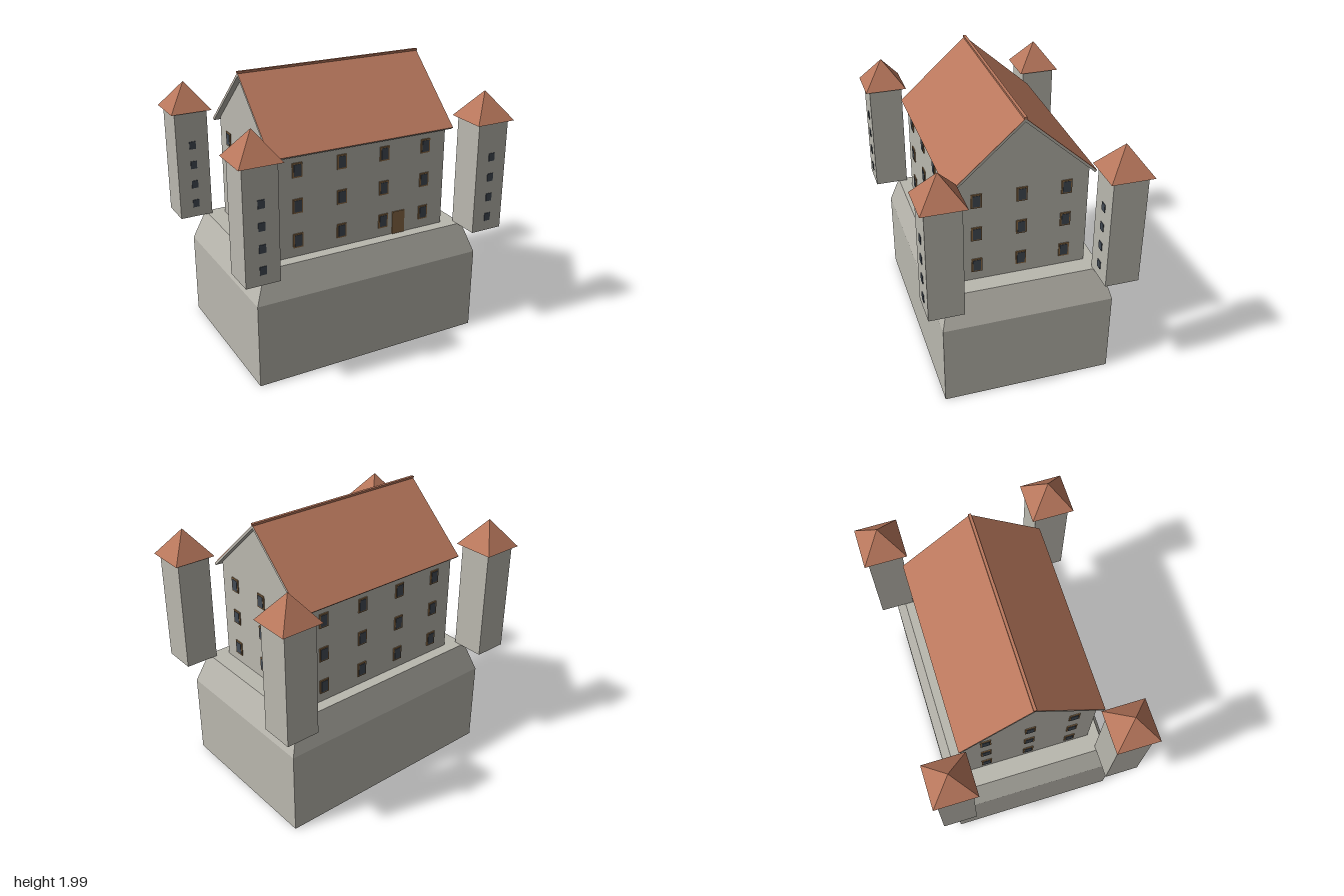
import * as THREE from 'three';

const material = (name, color) => {
  const m = new THREE.MeshStandardMaterial({ color });
  m.name = name;
  return m;
};

export function createModel() {
  const stone = material('grey stone', 0xbab8af);
  const tile = material('clay tile', 0xb8775c);
  const wood = material('brown wood', 0x8b6b47);
  const glass = material('dark glass', 0x434b55);

  const castle = new THREE.Group();
  castle.name = 'castle';

  const add = (parent, name, geometry, mat, x = 0, y = 0, z = 0) => {
    const mesh = new THREE.Mesh(geometry, mat);
    mesh.name = name;
    mesh.position.set(x, y, z);
    parent.add(mesh);
    return mesh;
  };
  const box = (w, h, d) => new THREE.BoxGeometry(w, h, d);

  // Extrudes a [z, y] outline along x, centred on x = 0
  const extrudeAlongX = (points, length) => {
    const shape = new THREE.Shape(points.map(([z, y]) => new THREE.Vector2(z, y)));
    const g = new THREE.ExtrudeGeometry(shape, { depth: length, bevelEnabled: false });
    return g.translate(0, 0, -length / 2).rotateY(Math.PI / 2);
  };

  // Rock base with sloped shoulder
  add(castle, 'baseBlock', box(1.7, 0.6, 1.185), stone, 0, 0.3, 0);
  const shoulder = box(1.7, 0.22, 1.185);
  const p = shoulder.attributes.position;
  for (let i = 0; i < p.count; i++) {
    if (p.getY(i) > 0) p.setXYZ(i, Math.sign(p.getX(i)) * 0.768, 0.11, Math.sign(p.getZ(i)) * 0.532);
  }
  shoulder.computeVertexNormals();
  add(castle, 'baseShoulder', shoulder, stone, 0, 0.71, 0);

  // Main hall with gables
  const W = 0.643, D = 0.452, floor = 0.82;
  add(castle, 'hall', extrudeAlongX(
    [[-D, floor], [D, floor], [D, 1.55], [0, 1.955], [-D, 1.55]], W * 2), stone);

  // Roof slab, its tile covering and the ridge cap
  const chevron = (lower, upper) => extrudeAlongX([
    [-0.476, lower - 0.428], [0, lower], [0.476, lower - 0.428],
    [0.487, upper - 0.438], [0, upper], [-0.487, upper - 0.438]], 1.366);
  add(castle, 'roofSlab', chevron(1.952, 1.972), stone);
  add(castle, 'roofTiles', extrudeAlongX([
    [-0.487, 1.534], [0, 1.972], [0.487, 1.534],
    [0.489, 1.537], [0, 1.976], [-0.489, 1.537]], 1.366), tile);
  add(castle, 'ridgeCap', box(1.37, 0.014, 0.02), tile, 0, 1.978, 0);

  // Framed windows on all four walls
  const addWindow = (x, y, z, turn) => {
    const win = new THREE.Group();
    win.name = 'hallWindow';
    add(win, 'windowFrame', box(0.072, 0.1, 0.008), wood);
    add(win, 'windowPane', box(0.052, 0.08, 0.008), glass, 0, 0, 0.003);
    win.position.set(x, y, z);
    win.rotation.y = turn;
    castle.add(win);
  };
  for (const y of [0.935, 1.18, 1.427]) {
    for (const x of [-0.488, -0.164, 0.16, 0.484]) {
      addWindow(x, y, D + 0.003, 0);
      addWindow(x, y, -D - 0.003, Math.PI);
    }
    for (const z of [-0.302, 0, 0.302]) {
      addWindow(W + 0.003, y, z, Math.PI / 2);
      addWindow(-W - 0.003, y, z, -Math.PI / 2);
    }
  }
  add(castle, 'door', box(0.096, 0.166, 0.009), wood, 0.283, 0.903, D + 0.003);

  // Corner towers with pyramid roofs and front windows
  const pyramid = new THREE.ConeGeometry(0.147 * Math.SQRT2, 0.192, 4)
    .rotateY(Math.PI / 4).toNonIndexed();
  pyramid.computeVertexNormals();
  for (const sx of [-1, 1]) {
    for (const sz of [-1, 1]) {
      const tower = new THREE.Group();
      tower.name = 'cornerTower';
      tower.position.set(sx * 0.853, 0, sz * 0.592);
      add(tower, 'towerShaft', box(0.236, 0.79, 0.236), stone, 0, 1.215, 0);
      add(tower, 'towerRoof', pyramid, tile, 0, 1.706, 0);
      for (let i = 0; i < 4; i++) {
        add(tower, 'towerWindow', box(0.046, 0.056, 0.008), glass, 0, 0.922 + i * 0.1475, 0.119);
      }
      castle.add(tower);
    }
  }
  return castle;
}
